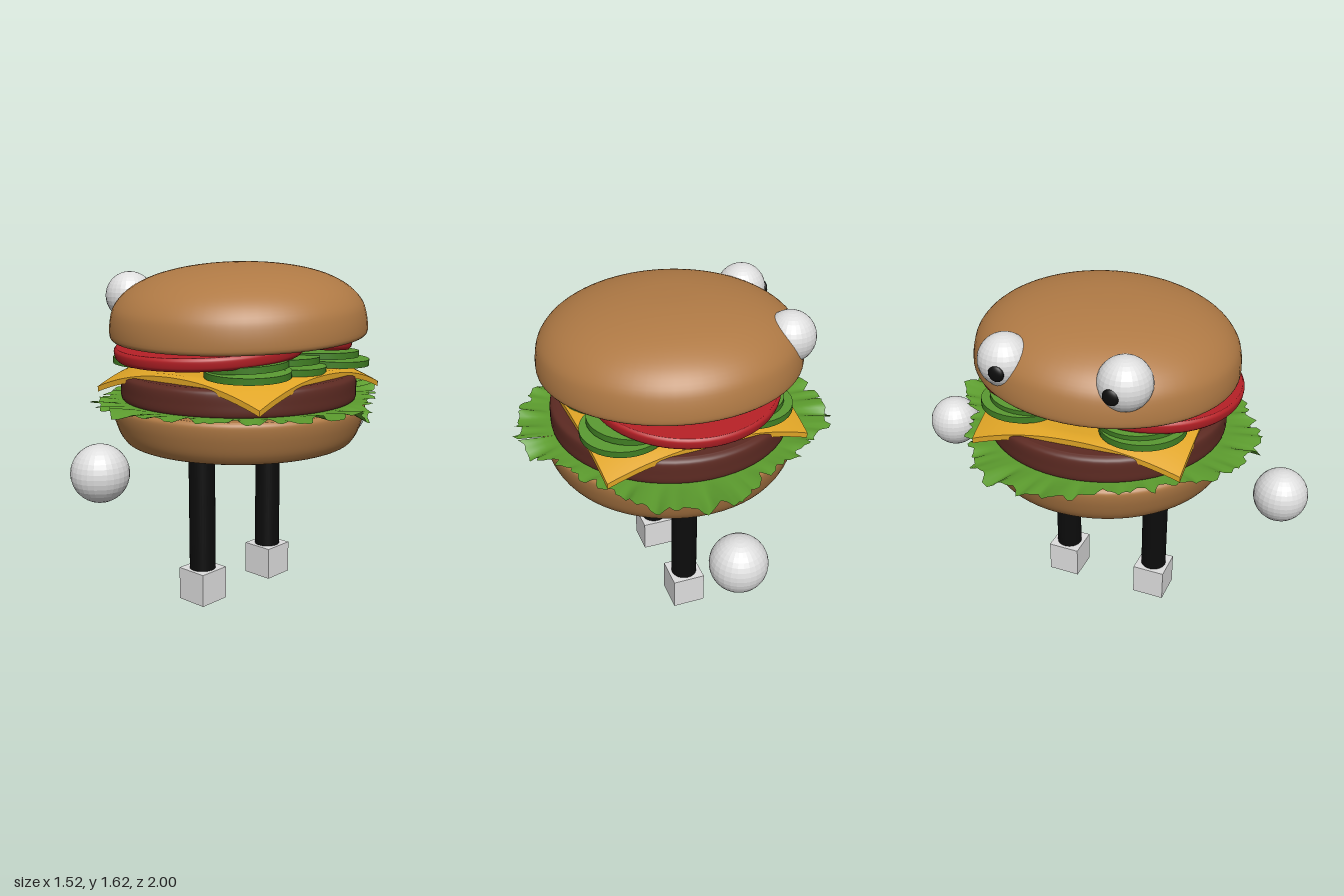
import * as THREE from 'three';

const mat = (name, color, extra = {}) => {
  const m = new THREE.MeshStandardMaterial({ color, ...extra });
  m.name = name;
  return m;
};

const CX = 0.02; // the body sits slightly off the x centre

export function createModel() {
  const model = new THREE.Group();
  model.name = 'burgerFigure';
  const bunMat = mat('bun brown', 0xb07a45);
  const pattyMat = mat('patty brown', 0x5c2a22);
  const lettuceMat = mat('lettuce green', 0x5c9c2e, { side: THREE.DoubleSide });
  const cheeseMat = mat('cheese yellow', 0xe0a526);
  const tomatoMat = mat('tomato red', 0xb52026);
  const pickleMat = mat('pickle green', 0x5a9a32);
  const rindMat = mat('pickle rind green', 0x417f24);
  const whiteMat = mat('white', 0xdedede);
  const blackMat = mat('black', 0x0c0c0c);

  const add = (name, geo, material, x = 0, y = 0, z = 0) => {
    const mesh = new THREE.Mesh(geo, material);
    mesh.name = name;
    mesh.position.set(x, y, z);
    model.add(mesh);
    return mesh;
  };
  // smooth round body from a few profile points, with flat caps
  const round = (pts, capStart, capEnd) => {
    const curve = new THREE.SplineCurve(pts.map(p => new THREE.Vector2(...p)));
    const outline = curve.getPoints(32);
    const v = (x, y) => new THREE.Vector2(x, y);
    if (capStart) outline.unshift(v(0, pts[0][1]), v(pts[0][0] - 0.002, pts[0][1]));
    if (capEnd) {
      const e = pts[pts.length - 1];
      outline.push(v(e[0] - 0.002, e[1]), v(0, e[1]));
    }
    return new THREE.LatheGeometry(outline, 64);
  };

  // buns
  add('bottomBun', round([[0.36, 0.74], [0.52, 0.762], [0.57, 0.80], [0.603, 0.88],
    [0.615, 0.945], [0.6, 0.968]], true, true), bunMat, CX);
  const topBun = add('topBun', round([[0.605, 0], [0.617, 0.02], [0.612, 0.09], [0.59, 0.155],
    [0.53, 0.22], [0.43, 0.275], [0.3, 0.312], [0.15, 0.333], [0, 0.338]], true, false),
  bunMat, CX, 1.28, 0);
  topBun.rotation.set(0.048, 0, -0.012);

  // patty
  add('patty', round([[0.54, 0.97], [0.567, 0.985], [0.57, 1.03], [0.566, 1.085], [0.54, 1.103]],
    true, true), pattyMat, CX);

  // lettuce: a ruffled ring whose outer radius follows a list around the circle
  const radii = [0.73, 0.72, 0.70, 0.68, 0.75, 0.72, 0.64, 0.64,
    0.74, 0.76, 0.68, 0.65, 0.77, 0.76, 0.66, 0.64];
  const leafRadius = t => {
    const s = t * radii.length, i = Math.floor(s), f = s - i;
    const e = f * f * (3 - 2 * f);
    return radii[i % 16] * (1 - e) + radii[(i + 1) % 16] * e;
  };
  const SEG = 240, RINGS = 7;
  const leaf = new THREE.PlaneGeometry(1, 1, SEG, RINGS);
  const lp = leaf.attributes.position;
  for (let i = 0; i < lp.count; i++) {
    const t = lp.getX(i) + 0.5, v = lp.getY(i) + 0.5;
    const a = t * Math.PI * 2;
    const jag = 0.012 * Math.sin(47 * a) + 0.012 * Math.sin(31 * a + 1) + 0.008 * Math.sin(83 * a);
    const r = 0.5 + (leafRadius(t) + jag - 0.5) * v;
    const out = Math.max(0, (r - 0.58) / 0.17);
    const ripple = 0.012 * Math.sin(23 * a) + 0.01 * Math.sin(37 * a + 2) + 0.006 * Math.sin(61 * a);
    // one drooping tip on the left side
    const droop = 0.07 * Math.exp(-(((a - 6.13) / 0.1) ** 2)) * out;
    lp.setXYZ(i, Math.cos(a) * r, 0.98 + out * (0.01 + ripple) - droop, Math.sin(a) * r);
  }
  leaf.computeVertexNormals();
  add('lettuce', leaf, lettuceMat, CX);

  // cheese: a square slice that folds down where it overhangs the patty
  const cheese = new THREE.BoxGeometry(1, 0.026, 1, 32, 1, 32);
  const cp = cheese.attributes.position;
  for (let i = 0; i < cp.count; i++) {
    const x = cp.getX(i), z = cp.getZ(i);
    const over = Math.max(0, Math.hypot(x, z) - 0.47);
    const pull = 1 - 0.12 * over;
    cp.setXYZ(i, x * pull, cp.getY(i) + 1.125 - 0.42 * Math.pow(over / 0.237, 1.2) * 0.24, z * pull);
  }
  cheese.computeVertexNormals();
  add('cheese', cheese, cheeseMat, 0.03).rotation.y = 0.07;

  // pickles in overlapping pairs
  const pickle = new THREE.CylinderGeometry(0.195, 0.195, 0.03, 36);
  [[-0.27, 0.29], [0.33, 0.28], [0.34, -0.3], [-0.26, -0.3], [0.33, 0.03]].forEach(([x, z], i) => {
    for (let k = 0; k < 2; k++) {
      const p = add('pickle', pickle, [rindMat, pickleMat, pickleMat],
        x * (1 - 0.12 * k), 1.153 + k * 0.031, z * (1 - 0.1 * k));
      p.rotation.set(0.03 * (i % 2 ? 1 : -1), 0, 0.03 * (k ? 1 : -1));
    }
  });

  // two leaning tomato slices
  const tomato = round([[0.43, -0.03], [0.442, -0.015], [0.445, 0.015], [0.435, 0.03]], true, true);
  add('frontTomato', tomato, tomatoMat, CX, 1.232, 0.2).rotation.x = 0.06;
  add('backTomato', tomato, tomatoMat, CX, 1.25, -0.175).rotation.x = -0.1;

  // faceted white balls for eyes and hands
  const ball = r => {
    const g = new THREE.SphereGeometry(r, 28, 18).toNonIndexed();
    g.computeVertexNormals();
    return g;
  };
  const handGeo = ball(0.126), eyeGeo = ball(0.119);
  const pupilGeo = new THREE.SphereGeometry(0.037, 20, 12);
  const legGeo = new THREE.CylinderGeometry(0.063, 0.063, 0.6, 32);
  const footGeo = new THREE.BoxGeometry(0.16, 0.16, 0.16);
  for (const s of [1, -1]) {
    const legZ = s > 0 ? 0.26 : -0.222;
    add('leg', legGeo, blackMat, CX, 0.45, legZ);
    add('foot', footGeo, whiteMat, CX, 0.08, legZ);
    add('hand', handGeo, whiteMat, CX, 0.76, s * 0.872);
    add('eye', eyeGeo, whiteMat, -0.45, 1.453, s * 0.275);
    add('pupil', pupilGeo, blackMat, -0.562, 1.44, s * 0.258).scale.x = 0.45;
  }
  return model;
}
